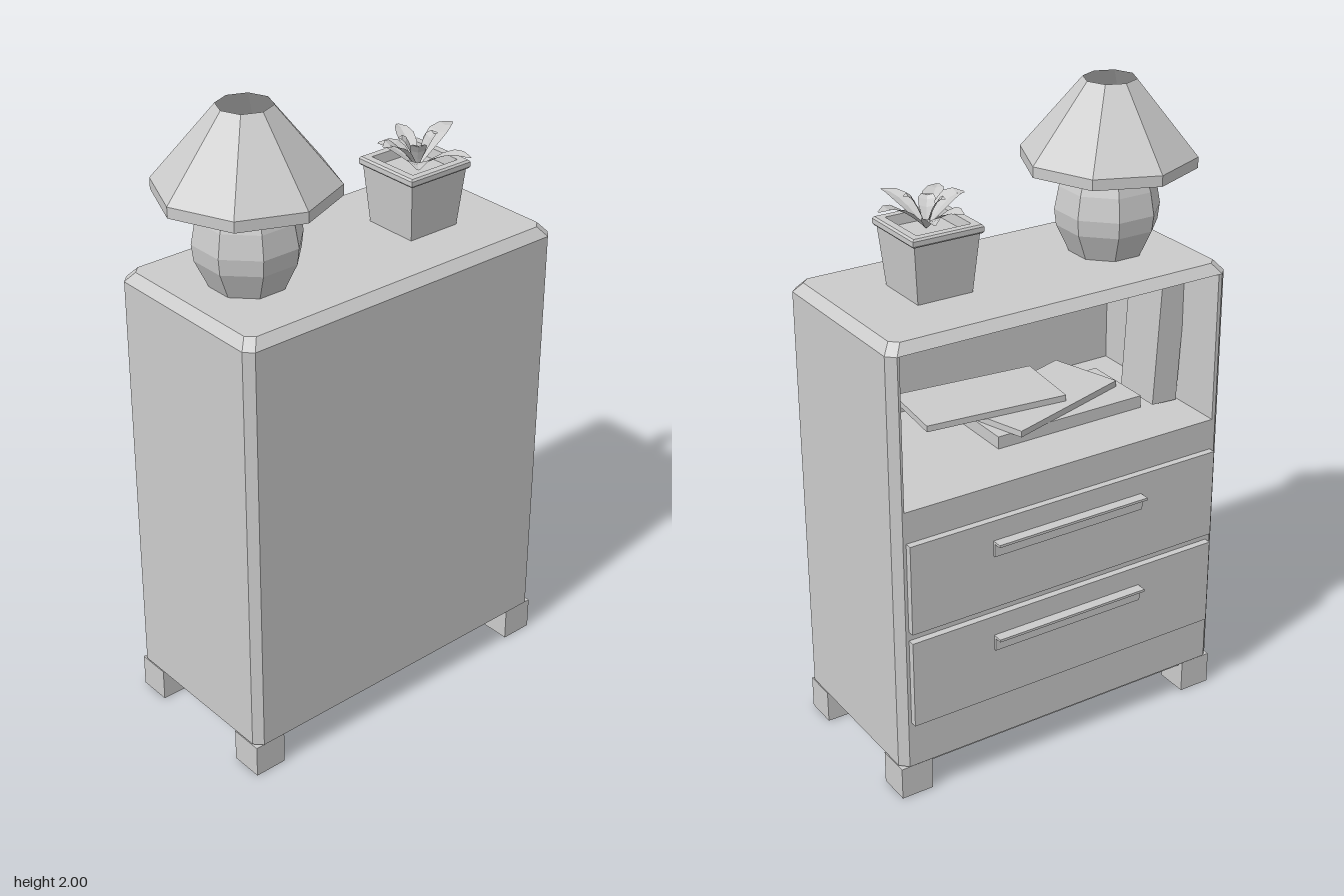
import * as THREE from 'three';

const material = new THREE.MeshStandardMaterial({ color: 0xcccccc, flatShading: true, side: THREE.DoubleSide });

function add(parent, name, geometry, x = 0, y = 0, z = 0) {
  const mesh = new THREE.Mesh(geometry, material);
  mesh.name = name;
  mesh.position.set(x, y, z);
  parent.add(mesh);
  return mesh;
}

// Box given by its limits on each axis
function span(parent, name, x0, x1, y0, y1, z0, z1) {
  return add(parent, name, new THREE.BoxGeometry(x1 - x0, y1 - y0, z1 - z0),
    (x0 + x1) / 2, (y0 + y1) / 2, (z0 + z1) / 2);
}

// Plan outline of [x, z] points raised along y
function prism(points, height) {
  const shape = new THREE.Shape(points.map(([x, z]) => new THREE.Vector2(x, -z)));
  return new THREE.ExtrudeGeometry(shape, { depth: height, bevelEnabled: false }).rotateX(-Math.PI / 2);
}

function lathe(points, sides, turn = 0) {
  return new THREE.LatheGeometry(points.map(p => new THREE.Vector2(...p)), sides).rotateY(turn);
}

function createCabinet() {
  const cabinet = new THREE.Group();
  cabinet.name = 'cabinet';
  const hx = 0.295, hz = 0.575, c = 0.025; // half sizes and chamfer
  cabinet.position.set(0.025, 0, -0.015);
  const outline = [
    [-hx, hz - c], [-hx + c, hz], [hx - c, hz], [hx, hz - c],
    [hx, -hz + c], [hx - c, -hz], [-hx + c, -hz], [-hx, -hz + c]
  ];
  add(cabinet, 'lowerBody', prism(outline, 0.86), 0, 0.11, 0);

  // Walls around the open shelf
  const notch = [[-hx, -0.543], [0.265, -0.543], [0.265, 0.538], [-hx, 0.538]];
  add(cabinet, 'shelfWalls', prism([...outline, ...notch], 0.475), 0, 0.97, 0);

  // Top with chamfered rim
  const top = prism(outline, 0.03);
  const p = top.attributes.position;
  for (let i = 0; i < p.count; i++) {
    if (p.getY(i) < 0.01) continue;
    p.setX(i, p.getX(i) * (hx - c) / hx);
    p.setZ(i, p.getZ(i) * (hz - c) / hz);
  }
  top.computeVertexNormals();
  add(cabinet, 'top', top, 0, 1.445, 0);

  // Base and feet
  span(cabinet, 'basePlate', -0.275, 0.275, 0.09, 0.11, -0.555, 0.555);
  for (const sx of [-1, 1]) for (const sz of [-1, 1]) {
    add(cabinet, 'foot', new THREE.BoxGeometry(0.105, 0.105, 0.105), sx * 0.237, 0.0525, sz * 0.522);
  }
  return cabinet;
}

function createDrawer(bottom, top) {
  const drawer = new THREE.Group();
  drawer.name = 'drawer';
  span(drawer, 'drawerFront', -0.292, -0.268, bottom, top, -0.555, 0.52);
  const y = top - 0.065;
  span(drawer, 'handleLip', -0.325, -0.29, y - 0.008, y, -0.28, 0.245);
  span(drawer, 'handleStem', -0.3, -0.29, y - 0.05, y - 0.006, -0.28, 0.245);
  return drawer;
}

function createBooks() {
  const books = new THREE.Group();
  books.name = 'books';
  span(books, 'lowerBook', -0.083, 0.16, 0.97, 1.01, -0.13, 0.39);
  const middle = span(books, 'middleBook', -0.06, 0.18, 1.01, 1.03, -0.12, 0.34);
  middle.rotation.y = 0.3;
  const upper = span(books, 'upperBook', 0, 0.24, 1.03, 1.05, -0.3, 0.165);
  upper.rotation.y = -0.1;
  const upright = span(books, 'uprightBook', -0.106, 0.06, 0.975, 1.36, 0.42, 0.51);
  upright.rotation.x = 0.06;
  upright.position.z = 0.475;
  upright.position.y = 1.17;
  return books;
}

function createLamp() {
  const lamp = new THREE.Group();
  lamp.name = 'lamp';
  lamp.position.set(0.025, 0, 0.325);
  add(lamp, 'lampBase', lathe([[0, 1.47], [0.115, 1.475], [0.155, 1.56], [0.161, 1.61], [0.148, 1.68],
    [0.122, 1.75], [0.08, 1.82], [0.055, 1.87], [0.05, 1.92], [0, 1.925]], 8, Math.PI / 8));
  add(lamp, 'lampShade', lathe([[0.265, 1.745], [0.265, 1.778], [0.08, 2.0]], 8));
  return lamp;
}

// Pointed leaf growing along +z, cupped across and bent along its length
function leafGeometry(length, width, rise) {
  const leaf = new THREE.PlaneGeometry(1, 1, 2, 5).rotateX(-Math.PI / 2);
  const p = leaf.attributes.position;
  for (let i = 0; i < p.count; i++) {
    const t = p.getZ(i) + 0.5, side = p.getX(i) * 2;
    const w = width / 2 * (0.12 + 0.88 * Math.sin(Math.PI * Math.pow(t, 1.15)));
    p.setXYZ(i, side * w, rise * Math.sin(t * 1.75) + Math.abs(side) * w * 0.25, t * length);
  }
  leaf.computeVertexNormals();
  return leaf;
}

function createPlant() {
  const plant = new THREE.Group();
  plant.name = 'pottedPlant';
  plant.position.set(0.038, 0, -0.283);
  const square = [[0, 1.475], [0.09, 1.475], [0.106, 1.655], [0.111, 1.655], [0.115, 1.66], [0.115, 1.675],
    [0.11, 1.681], [0.088, 1.681], [0.085, 1.65], [0, 1.65]];
  add(plant, 'pot', lathe(square.map(([r, y]) => [r * Math.SQRT2, y]), 4, Math.PI / 4));

  // Outer leaves: tip x, tip z, width, rise
  const leaves = [
    [-0.022, -0.168, 0.065, 0.09], [-0.15, -0.065, 0.055, 0.07], [0.185, -0.045, 0.06, 0.075],
    [0.145, 0.12, 0.065, 0.07], [-0.005, 0.118, 0.085, 0.09], [-0.095, 0.06, 0.08, 0.06],
    // inner leaves
    [0.03, -0.06, 0.05, 0.1], [-0.03, 0.04, 0.05, 0.09], [0.05, 0.03, 0.05, 0.085]
  ];
  for (const [x, z, width, rise] of leaves) {
    const leaf = add(plant, 'leaf', leafGeometry(Math.hypot(x - 0.01, z), width, rise), 0.01, 1.655, 0);
    leaf.rotation.y = Math.atan2(x - 0.01, z);
  }
  return plant;
}

export function createModel() {
  const model = new THREE.Group();
  model.name = 'bedsideCabinet';
  model.add(createCabinet(), createDrawer(0.58, 0.87), createDrawer(0.265, 0.55),
    createBooks(), createLamp(), createPlant());
  return model;
}
